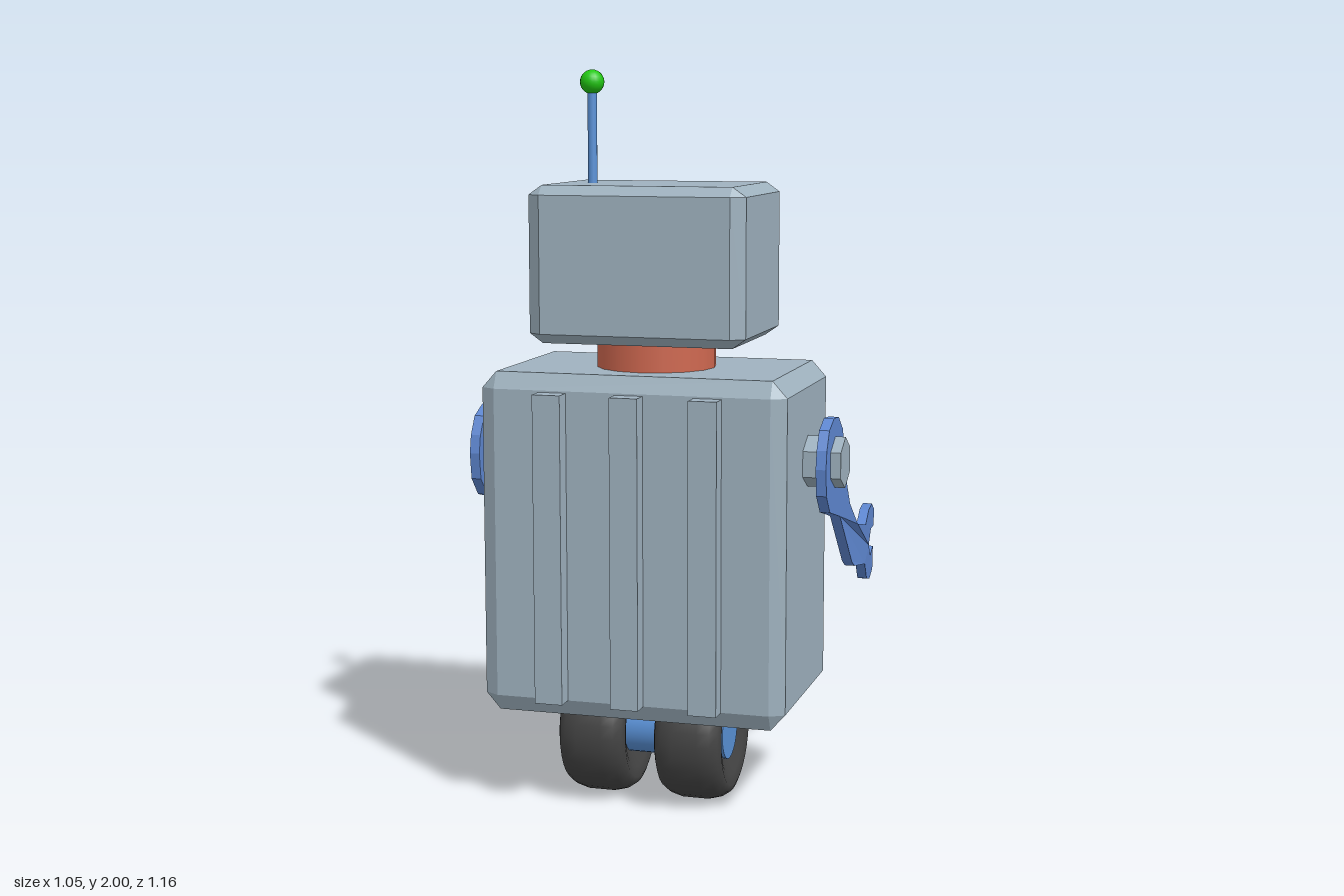
import * as THREE from 'three';

const mat = (color, extra = {}) => new THREE.MeshStandardMaterial({ color, ...extra });
const steel = mat(0x9fb2bf, { flatShading: true });
const blue = mat(0x5f88d2, { flatShading: true });
const hubBlue = mat(0x5a92d8);
const red = mat(0xcf6850);
const redFlat = mat(0xcf6850, { flatShading: true });
const green = mat(0x22c813);
const yellow = mat(0xcdcc4a);
const rubber = mat(0x444444);
const grille = mat(0xa9a9a9);

// Box with chamfered edges, lofted along z from rectangle and octagon sections
function chamferBox(w, h, d, cx, cy, cz, openBack = false) {
  const x = w / 2, y = h / 2, xi = x - cx, yi = y - cy;
  const oct = [[x, -yi], [x, yi], [xi, y], [-xi, y], [-x, yi], [-x, -yi], [-xi, -y], [xi, -y]];
  const rect = oct.map(([a, b]) => [Math.sign(a) * xi, Math.sign(b) * yi]);
  const rings = [[rect, -d / 2], [oct, -d / 2 + cz], [oct, d / 2 - cz], [rect, d / 2]];
  const pos = rings.flatMap(([ring, z]) => ring.flatMap(([a, b]) => [a, b, z]));
  const index = [];
  for (let i = 0; i < 3; i++) {
    for (let j = 0; j < 8; j++) {
      const a = i * 8 + j, b = i * 8 + (j + 1) % 8;
      index.push(a, b, b + 8, a, b + 8, a + 8);
    }
  }
  index.push(24, 25, 27, 24, 27, 29);
  if (!openBack) index.push(0, 3, 1, 0, 5, 3);
  const geo = new THREE.BufferGeometry();
  geo.setAttribute('position', new THREE.Float32BufferAttribute(pos, 3));
  geo.setIndex(index);
  const flat = geo.toNonIndexed();
  flat.computeVertexNormals();
  return flat;
}

// Rectangular plate with a rectangular opening, extruded along +z
function framePlate(w, h, hw, hh, depth, holeY = 0) {
  const rect = (P, a, b, oy) => new P([[-a, -b], [a, -b], [a, b], [-a, b]]
    .map(([x, y]) => new THREE.Vector2(x / 2, y / 2 + oy)));
  const shape = rect(THREE.Shape, w, h, 0);
  shape.holes.push(rect(THREE.Path, hw, hh, holeY));
  return new THREE.ExtrudeGeometry(shape, { depth, bevelEnabled: false });
}

// Arm silhouette as [z, y]: shoulder eye, bent arm, open claw
const ARM = [
  [0.38, 0.95], [0.37, 1.0], [0.34, 1.05], [0.28, 1.075], [0.22, 1.07], [0.165, 1.03], [0.143, 0.98],
  [0.138, 0.92], [0.053, 0.80], [-0.064, 0.72], [-0.307, 0.67], [-0.40, 0.697], [-0.50, 0.697],
  [-0.578, 0.665], [-0.562, 0.617], [-0.477, 0.623], [-0.413, 0.586], [-0.466, 0.543], [-0.551, 0.554],
  [-0.54, 0.485], [-0.445, 0.474], [-0.355, 0.495], [-0.29, 0.554], [-0.02, 0.607], [0.02, 0.628],
  [0.19, 0.79], [0.323, 0.825], [0.37, 0.877],
];

function armGeometry(side) {
  const t = 0.028;
  const geo = new THREE.ExtrudeGeometry(new THREE.Shape(ARM.map(p => new THREE.Vector2(...p))),
    { depth: t, bevelEnabled: false });
  geo.rotateY(-Math.PI / 2).translate(t / 2, 0, 0);
  // forearm leans inward
  const p = geo.attributes.position;
  for (let i = 0; i < p.count; i++) {
    p.setX(i, p.getX(i) - side * 0.1 * Math.max(0, -0.06 - p.getZ(i)));
  }
  geo.computeVertexNormals();
  return geo;
}

export function createModel() {
  const model = new THREE.Group();
  const add = (name, geo, material, x = 0, y = 0, z = 0, parent = model) => {
    const mesh = new THREE.Mesh(geo, material);
    mesh.name = name;
    mesh.position.set(x, y, z);
    parent.add(mesh);
    return mesh;
  };
  const disc = (r, depth, sides) => new THREE.CylinderGeometry(r, r, depth, sides).rotateX(Math.PI / 2);
  const rod = (r, len, sides) => new THREE.CylinderGeometry(r, r, len, sides).rotateZ(Math.PI / 2);

  // Torso with ribs on its +z side
  add('torso', chamferBox(0.842, 0.935, 0.516, 0.04, 0.045, 0.023), steel, 0, 0.7325, 0.272);
  for (const x of [-0.216, -0.003, 0.212]) {
    add('rib', new THREE.BoxGeometry(0.077, 0.84, 0.08), steel, x, 0.73, 0.54);
  }

  // Neck and head; the face plate has an opening for the mouth
  add('neck', new THREE.CylinderGeometry(0.163, 0.163, 0.12, 16), red, 0, 1.235, 0.277);
  const head = new THREE.Group();
  head.name = 'head';
  model.add(head);
  add('headShell', chamferBox(0.598, 0.422, 0.424, 0.037, 0.026, 0.027, true), steel, -0.002, 1.485, 0.275, head);
  add('facePlate', framePlate(0.524, 0.37, 0.36, 0.09, 0.025, -0.06), steel, -0.002, 1.485, 0.063, head);
  add('mouthBack', new THREE.BoxGeometry(0.38, 0.11, 0.01), grille, 0, 1.425, 0.09, head);
  for (const y of [1.393, 1.425, 1.457]) {
    add('mouthBar', new THREE.BoxGeometry(0.36, 0.022, 0.012), grille, 0, y, 0.082, head);
  }

  // Eyes
  const eyeRing = new THREE.LatheGeometry(
    [[0.046, 0], [0.062, 0], [0.062, 0], [0.062, 0.024], [0.062, 0.024], [0.056, 0.034], [0.056, 0.034],
      [0.048, 0.034], [0.048, 0.034], [0.046, 0]].map(p => new THREE.Vector2(...p)), 20).rotateX(-Math.PI / 2);
  for (const x of [-0.137, 0.133]) {
    add('eyeRing', eyeRing, hubBlue, x, 1.567, 0.068, head);
    const lens = new THREE.SphereGeometry(0.049, 20, 8, 0, Math.PI * 2, 0, Math.PI / 2);
    lens.scale(1, 0.3, 1).rotateX(-Math.PI / 2);
    add('eyeLens', lens, yellow, x, 1.567, 0.055, head);
  }

  // Nose
  const nose = new THREE.Shape([[-0.053, 0], [0.053, 0], [0.024, 0.075], [-0.024, 0.075]]
    .map(p => new THREE.Vector2(...p)));
  add('nose', new THREE.ExtrudeGeometry(nose, { depth: 0.035, bevelEnabled: false }), redFlat, 0.003, 1.493, 0.035, head);

  // Antenna
  add('antennaRod', new THREE.CylinderGeometry(0.013, 0.013, 0.28, 12), hubBlue, -0.177, 1.82, 0.29);
  add('antennaBall', new THREE.SphereGeometry(0.033, 20, 14), green, -0.177, 1.967, 0.29);

  // Control panel
  add('panelFrame', framePlate(0.505, 0.467, 0.36, 0.335, 0.11), blue, -0.002, 0.752, -0.085);
  add('panelPlate', new THREE.BoxGeometry(0.38, 0.35, 0.05), steel, -0.002, 0.752, -0.01);
  for (const [x, y, r, m] of [[0.115, 0.81, 0.052, red], [-0.005, 0.8, 0.038, red], [-0.105, 0.8, 0.035, green]]) {
    add('panelButton', disc(r, 0.03, 10), m, x, y, -0.042);
  }

  // Arms with hexagonal shoulder bolts
  for (const side of [-1, 1]) {
    const name = side > 0 ? 'left' : 'right';
    add(name + 'Arm', armGeometry(side), blue, side * 0.49 - 0.007, 0, 0);
    add(name + 'ShoulderBolt', rod(0.07, 0.14, 6).rotateX(Math.PI / 2), steel, side * 0.455, 0.953, 0.262);
  }

  // Wheels on a common axle
  const tyre = new THREE.LatheGeometry(
    [[0.079, -0.07], [0.125, -0.088], [0.152, -0.095], [0.17, -0.088], [0.184, -0.068], [0.193, -0.035], [0.193, 0.035],
      [0.184, 0.068], [0.17, 0.088], [0.152, 0.095], [0.125, 0.088], [0.079, 0.07]]
      .map(p => new THREE.Vector2(...p)), 32).rotateZ(Math.PI / 2);
  for (const x of [-0.136, 0.136]) {
    add('tyre', tyre, rubber, x, 0.193, 0.297);
  }
  const axle = rod(0.08, 0.43, 24);
  // keep a vertex of the bolt-style rod pointing up
  add('axle', axle, hubBlue, 0, 0.193, 0.297);
  return model;
}
